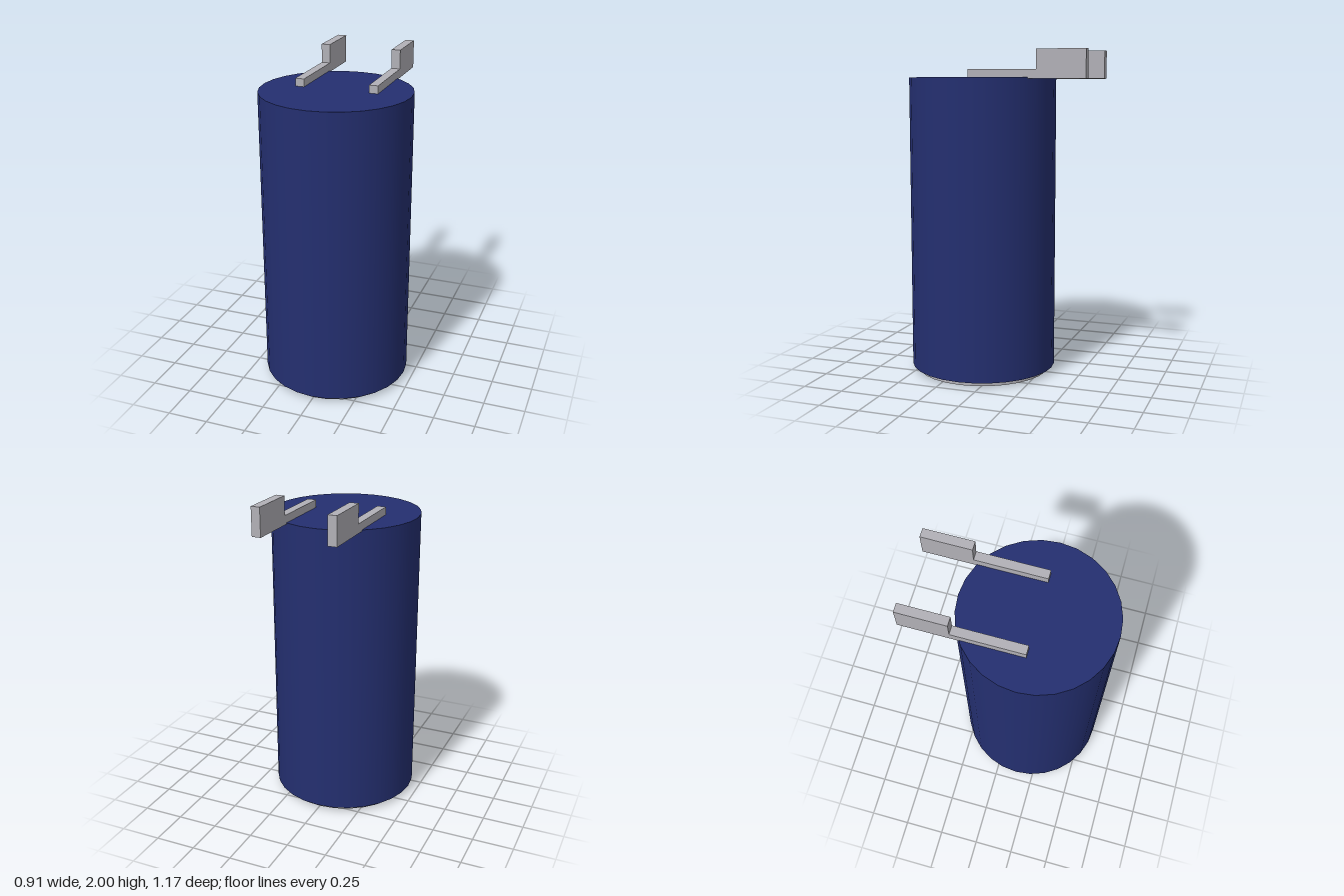
import * as THREE from 'three';

export function createModel() {
  const group = new THREE.Group();
  const blue = new THREE.MeshStandardMaterial({ color: 0x242f70 });
  blue.name = 'navy sleeve';
  const metal = new THREE.MeshStandardMaterial({ color: 0xb2b1b7 });
  metal.name = 'light metal';

  const SIDES = 28, AXIS_Z = 0.133;

  // Upright cylinder on the can's axis, from y0 to y1
  function can(name, radius, y0, y1, material) {
    const mesh = new THREE.Mesh(
      new THREE.CylinderGeometry(radius, radius, y1 - y0, SIDES), material);
    mesh.position.set(0, (y0 + y1) / 2, AXIS_Z);
    mesh.name = name;
    group.add(mesh);
  }
  can('sleeve', 0.453, 0.03, 1.838, blue);
  can('baseCap', 0.415, 0, 0.04, metal);

  // Terminal side outline: thin strip that steps up to a tall tab at the back
  const outline = new THREE.Shape([
    [-0.133, 1.83], [0.586, 1.83], [0.586, 2],
    [0.29, 2], [0.29, 1.885], [-0.133, 1.885],
  ].map(([x, y]) => new THREE.Vector2(x, y)));
  const width = 0.054;
  const terminal = new THREE.ExtrudeGeometry(outline, { depth: width, bevelEnabled: false });
  terminal.translate(0, 0, -width / 2);
  terminal.rotateY(Math.PI / 2);

  for (const [name, side] of [['leftTerminal', 1], ['rightTerminal', -1]]) {
    const mesh = new THREE.Mesh(terminal, metal);
    mesh.position.x = side * 0.227;
    mesh.name = name;
    group.add(mesh);
  }
  return group;
}
